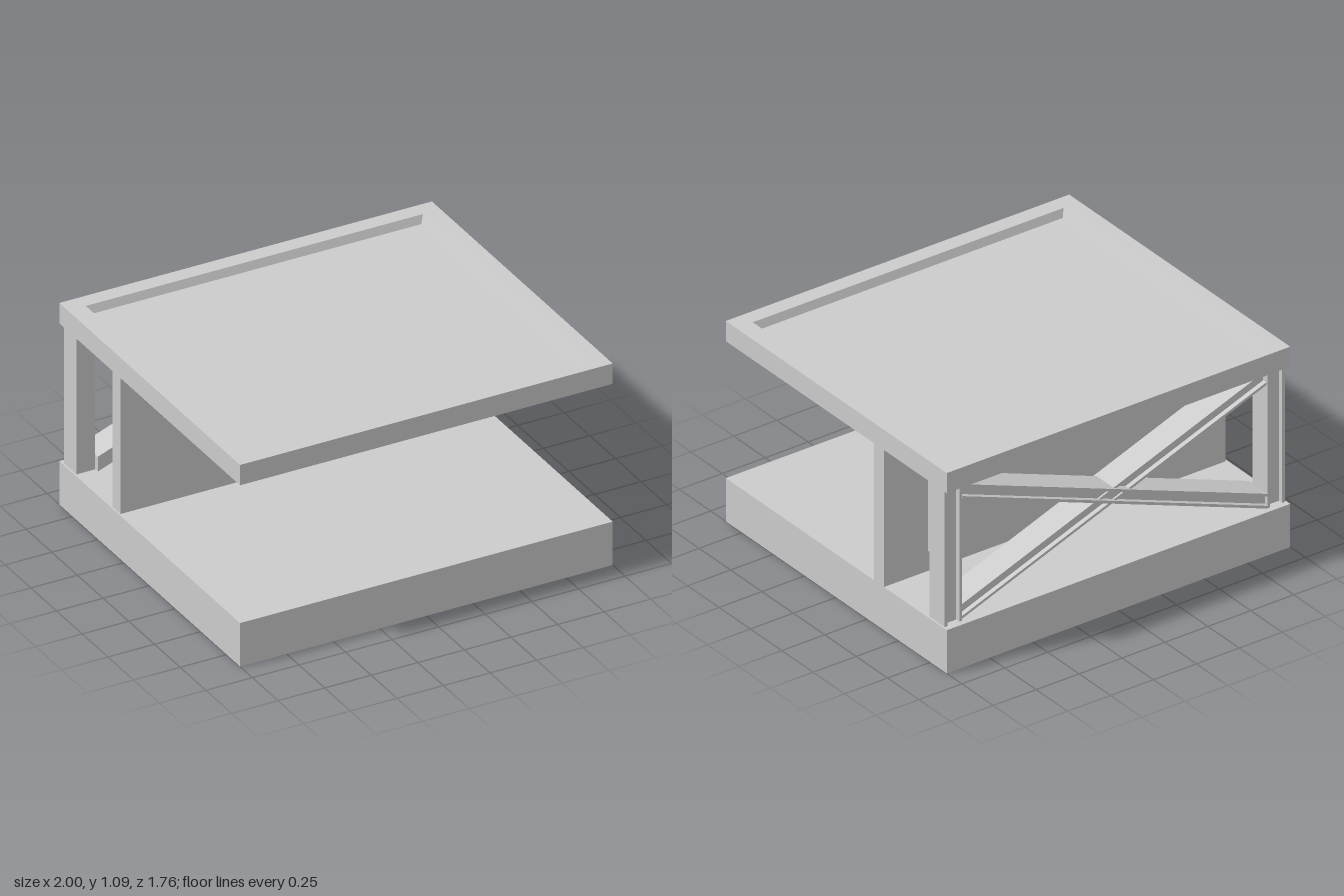
import * as THREE from 'three';

const V = (x, y, z) => new THREE.Vector3(x, y, z);
const BASE_TOP = 0.235, ROOF_BOTTOM = 0.98, ROOF_TOP = 1.09;

export function createModel() {
  const group = new THREE.Group();
  const material = new THREE.MeshStandardMaterial({ color: 0xcccccc, flatShading: true });

  const add = (name, geometry) => {
    const mesh = new THREE.Mesh(geometry, material);
    mesh.name = name;
    group.add(mesh);
  };

  // Box given by its limits on each axis
  const box = (name, x0, x1, y0, y1, z0, z1) =>
    add(name, new THREE.BoxGeometry(x1 - x0, y1 - y0, z1 - z0)
      .translate((x0 + x1) / 2, (y0 + y1) / 2, (z0 + z1) / 2));

  // Channel-section beam: open side towards the back, run along the given axis vector
  const channel = (name, width, depth, length, up, along, origin) => {
    const h = width / 2, lip = 0.015, inset = depth - 0.025;
    const shape = new THREE.Shape([
      [0, -h], [depth, -h], [depth, -h + lip], [inset, -h + lip],
      [inset, h - lip], [depth, h - lip], [depth, h], [0, h],
    ].map(([x, y]) => new THREE.Vector2(x, y)));
    const geometry = new THREE.ExtrudeGeometry(shape, { depth: length, bevelEnabled: false });
    geometry.applyMatrix4(new THREE.Matrix4().makeBasis(V(0, 0, -1), up, along).setPosition(origin));
    geometry.computeVertexNormals();
    add(name, geometry);
  };

  // Base slab, cross wall and the panel on its back
  box('base', -1, 1, 0, BASE_TOP, -0.88, 0.88);
  box('wall', -0.99, 1, BASE_TOP, ROOF_BOTTOM, -0.38, -0.30);
  box('wallPanel', -0.07, 0.745, 0.345, 0.82, -0.425, -0.38);

  // Roof tray: rectangular loops [half x, y, half z] joined from the underside to the sunken floor
  const loops = [
    [0, ROOF_BOTTOM, 0], [1, ROOF_BOTTOM, 0.88], [1, ROOF_TOP, 0.88],
    [0.905, ROOF_TOP, 0.795], [0.887, ROOF_TOP - 0.04, 0.777], [0, ROOF_TOP - 0.04, 0],
  ];
  const corners = [[-1, 1], [1, 1], [1, -1], [-1, -1]];
  const positions = [], index = [];
  loops.forEach(([x, y, z], i) => {
    corners.forEach(([sx, sz], j) => {
      positions.push(x * sx, y, z * sz);
      if (i === 0) return;
      const k = (j + 1) % 4, a = (i - 1) * 4, b = i * 4;
      index.push(a + j, a + k, b + k, a + j, b + k, b + j);
    });
  });
  const indexed = new THREE.BufferGeometry();
  indexed.setAttribute('position', new THREE.Float32BufferAttribute(positions, 3));
  indexed.setIndex(index);
  const tray = indexed.toNonIndexed();
  tray.computeVertexNormals();
  add('roof', tray);

  // Back corner posts
  for (const side of [-1, 1]) {
    channel(side > 0 ? 'leftPost' : 'rightPost', 0.1, 0.12, ROOF_BOTTOM - BASE_TOP,
      V(-1, 0, 0), V(0, 1, 0), V(side * 0.94, BASE_TOP, -0.73));
  }

  // Crossed diagonal braces, cut upright against the posts
  const span = 1.78, height = 0.08;
  const slope = (ROOF_BOTTOM - BASE_TOP - height) / span;
  for (const rise of [1, -1]) {
    const startY = rise > 0 ? BASE_TOP + height / 2 : ROOF_BOTTOM - height / 2;
    channel(rise > 0 ? 'outerBrace' : 'innerBrace', height, 0.15, span,
      V(0, 1, 0), V(1, rise * slope, 0), V(-span / 2, startY, rise > 0 ? -0.705 : -0.69));
  }

  return group;
}
